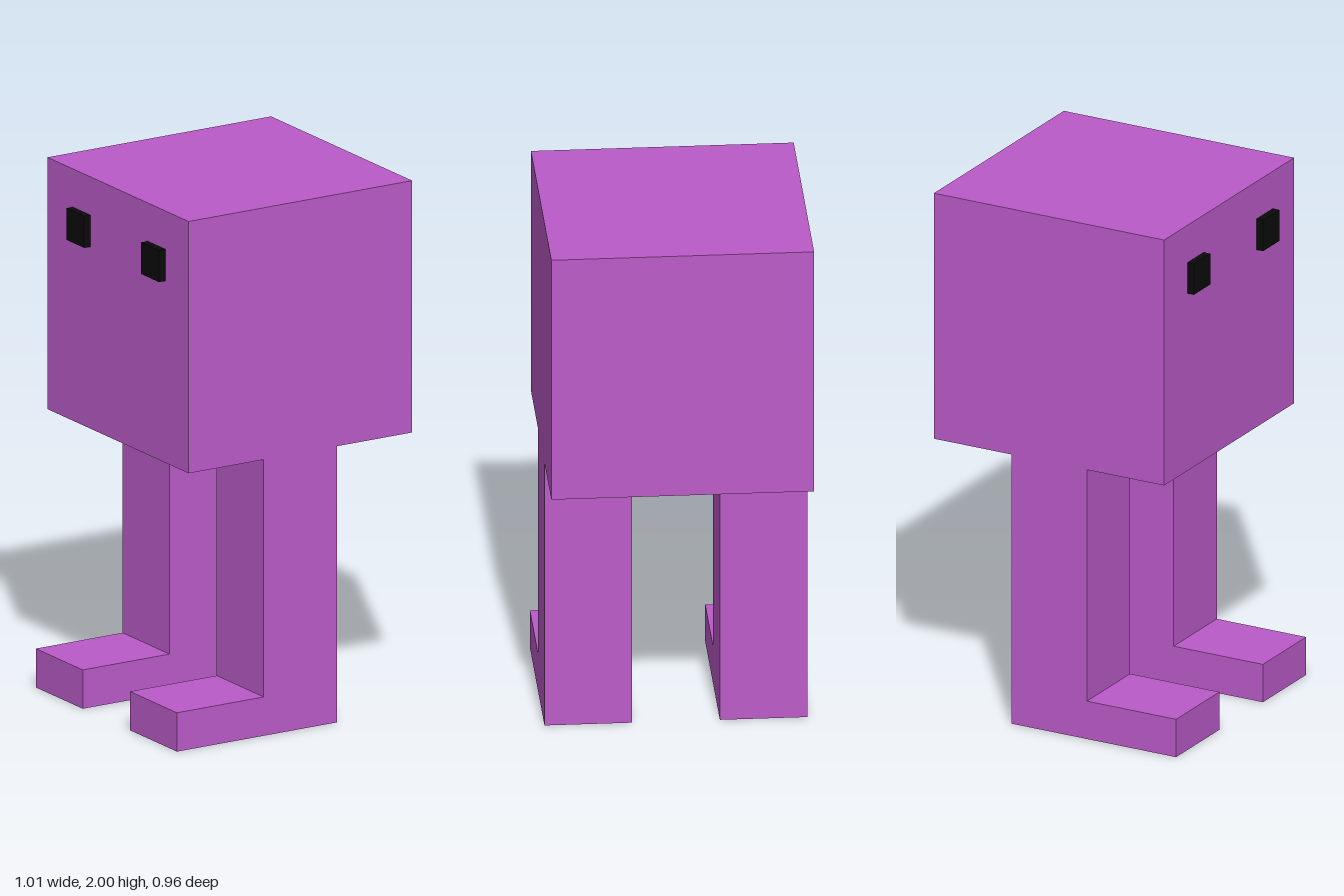
import * as THREE from 'three';

export function createModel() {
  const model = new THREE.Group();
  model.name = 'blockCreature';

  const purple = new THREE.MeshStandardMaterial({ color: 0xbb5bc8 });
  purple.name = 'purple skin';
  const black = new THREE.MeshStandardMaterial({ color: 0x0a0a0a });
  black.name = 'black eyes';

  const add = (name, geometry, material, x, y, z) => {
    const mesh = new THREE.Mesh(geometry, material);
    mesh.name = name;
    mesh.position.set(x, y, z);
    model.add(mesh);
  };

  // Cube head, which is also the body; the face looks along -x
  add('head', new THREE.BoxGeometry(0.96, 0.954, 0.956), purple, 0.025, 1.523, 0);

  // Leg and foot as one L-shaped profile, extruded across the width
  const profile = new THREE.Shape([
    [-0.505, 0], [0.182, 0], [0.182, 1.046], [-0.133, 1.046], [-0.133, 0.147], [-0.505, 0.147],
  ].map(([x, y]) => new THREE.Vector2(x, y)));
  const leg = new THREE.ExtrudeGeometry(profile, { depth: 0.318, bevelEnabled: false });
  add('nearLeg', leg, purple, 0, 0, 0.16);
  add('farLeg', leg, purple, 0, 0, -0.478);

  // Small square eyes, slightly raised from the face
  const eye = new THREE.BoxGeometry(0.028, 0.12, 0.121);
  add('nearEye', eye, black, -0.469, 1.795, 0.261);
  add('farEye', eye, black, -0.468, 1.795, -0.247);

  return model;
}
